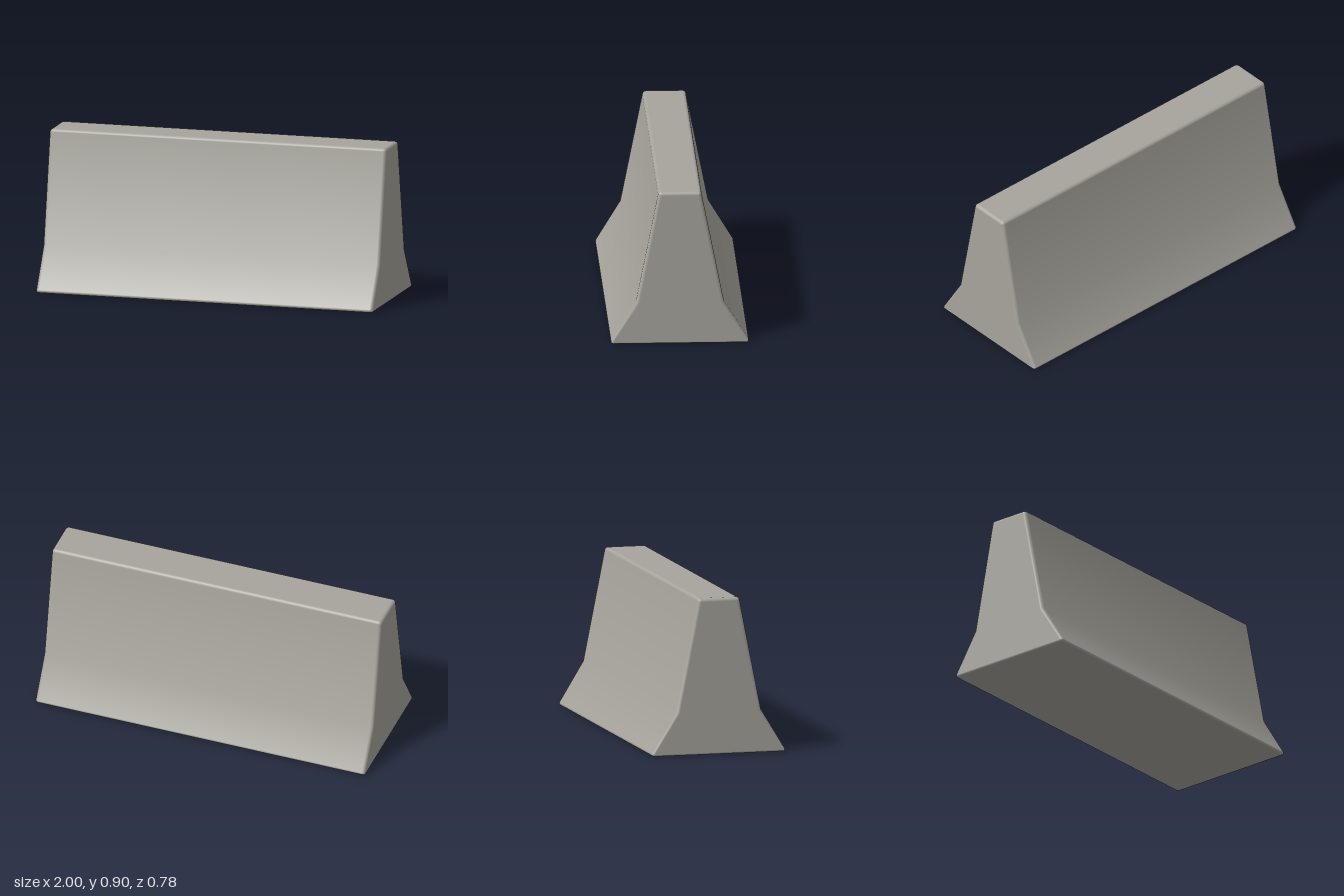
import * as THREE from 'three';

const HALF_LENGTH = 1;
const EDGE = 0.02; // rounding radius along the edges
const STEPS = 4;   // segments per rounded edge

// Half profile: centre of each corner's rounding, its radius and sweep of normals (degrees)
const corners = [
  { z: 0.38, y: 0.012, r: 0.012, from: -90, to: 31.1 },            // foot
  { z: 0.2311, y: 0.2427, r: EDGE, from: 21.2, to: 21.2 },         // bend between the slopes
  { z: 0.1044, y: 0.88, r: EDGE, from: 11.2, to: 90 },             // top edge
];

function makeProfile() {
  const half = [];
  for (const { z, y, r, from, to } of corners) {
    const n = from === to ? 0 : STEPS;
    for (let i = 0; i <= n; i++) {
      const a = THREE.MathUtils.degToRad(n ? from + ((to - from) * i) / n : from);
      half.push({ z, y, r, nz: Math.cos(a), ny: Math.sin(a) });
    }
  }
  const mirrored = half.map((p) => ({ ...p, z: -p.z, nz: -p.nz })).reverse();
  return [...half, ...mirrored];
}

function makeBarrierGeometry() {
  const profile = makeProfile();
  const n = profile.length;
  const positions = [], normals = [], index = [];

  // Rings along the length, drawn in at both ends to round the end edges
  const angles = [];
  for (let i = 0; i <= STEPS; i++) angles.push(-Math.PI / 2 + (i / STEPS) * (Math.PI / 2));
  for (let i = 0; i <= STEPS; i++) angles.push((i / STEPS) * (Math.PI / 2));
  angles.forEach((a, j) => {
    const side = j <= STEPS ? -1 : 1;
    const c = Math.cos(a), s = Math.sin(a);
    const x = side * (HALF_LENGTH - EDGE) + EDGE * s;
    for (const p of profile) {
      positions.push(x, p.y + p.r * c * p.ny, p.z + p.r * c * p.nz);
      normals.push(s, c * p.ny, c * p.nz);
    }
  });

  // Long skin
  for (let j = 0; j < angles.length - 1; j++) {
    for (let i = 0; i < n; i++) {
      const k = (i + 1) % n;
      const a = j * n + i, b = a + n, d = j * n + k, c = d + n;
      index.push(a, b, c, a, c, d);
    }
  }

  // End caps: rungs between the mirrored halves
  const last = (angles.length - 1) * n;
  for (let i = 0; i < n / 2 - 1; i++) {
    const p = i, q = i + 1, m = n - 1 - i, o = n - 2 - i;
    index.push(last + p, last + m, last + o, last + p, last + o, last + q);
    index.push(p, o, m, p, q, o);
  }

  const geometry = new THREE.BufferGeometry();
  geometry.setAttribute('position', new THREE.Float32BufferAttribute(positions, 3));
  geometry.setAttribute('normal', new THREE.Float32BufferAttribute(normals, 3));
  geometry.setIndex(index);
  return geometry;
}

export function createModel() {
  const concrete = new THREE.MeshStandardMaterial({ color: 0xa6a49c });
  concrete.name = 'concrete';

  const body = new THREE.Mesh(makeBarrierGeometry(), concrete);
  body.name = 'barrierBody';

  const group = new THREE.Group();
  group.name = 'concreteBarrier';
  group.add(body);
  return group;
}
